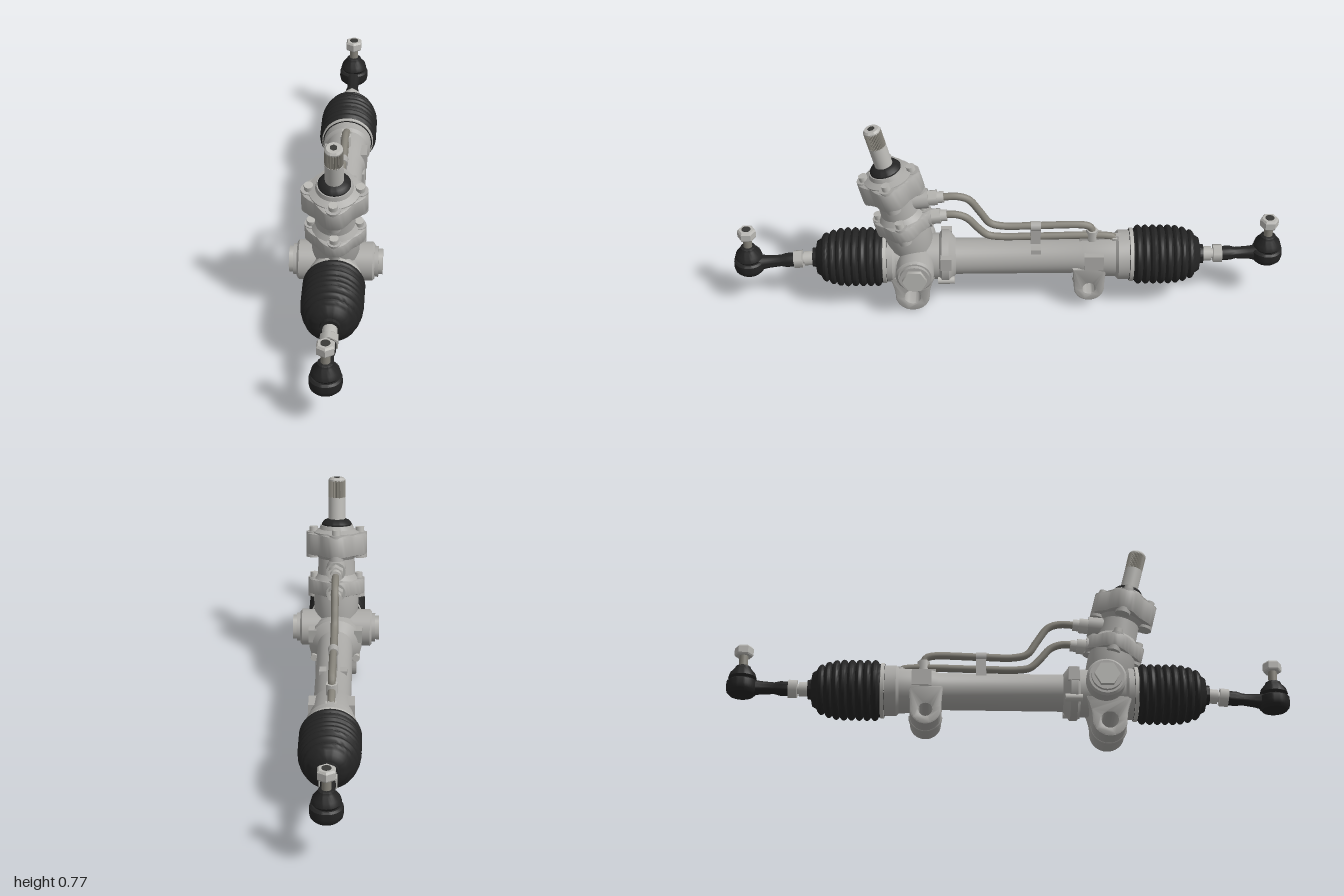
import * as THREE from 'three';
import { toCreasedNormals } from 'three/addons/utils/BufferGeometryUtils.js';

const mat = (name, color) => {
  const m = new THREE.MeshStandardMaterial({ color });
  m.name = name;
  return m;
};

export function createModel() {
  const cast = mat('cast aluminium', 0xabaaa7);
  const steel = mat('bright steel', 0xb9b8b4);
  const pipeMat = mat('pipe steel', 0x86837a);
  const rubber = mat('black rubber', 0x242424);
  const dark = mat('dark hole', 0x3a3a38);
  const root = new THREE.Group();
  root.name = 'steeringRack';

  const add = (parent, name, geo, material, x = 0, y = 0, z = 0) => {
    const m = new THREE.Mesh(geo, material);
    m.name = name;
    m.position.set(x, y, z);
    parent.add(m);
    return m;
  };
  const group = (parent, name, x = 0, y = 0, z = 0) => {
    const g = new THREE.Group();
    g.name = name;
    g.position.set(x, y, z);
    parent.add(g);
    return g;
  };
  // Turned part from [radius, height] points, along y
  const turned = (pts, seg = 40, crease = 0.6) =>
    toCreasedNormals(new THREE.LatheGeometry(pts.map(p => new THREE.Vector2(...p)), seg), crease);
  const turnedZ = (pts, seg, crease) => turned(pts, seg, crease).rotateX(Math.PI / 2);
  const cyl = (r, h, seg = 24) => new THREE.CylinderGeometry(r, r, h, seg);
  const box = (x, y, z) => new THREE.BoxGeometry(x, y, z);

  // Rack housing: tube, end collar and gear housing
  const axisY = 0.2;
  const housing = group(root, 'housing', 0, axisY, 0);
  add(housing, 'rackTube', turnedZ([
    [0, -0.45], [0.09, -0.45], [0.09, -0.4], [0.08, -0.39], [0.074, -0.27], [0.066, -0.25],
    [0.066, 0.19], [0.085, 0.205], [0.098, 0.215], [0.098, 0.24], [0.085, 0.25],
    [0.084, 0.41], [0.092, 0.42], [0.092, 0.48], [0, 0.48]]), cast);
  for (const s of [-1, 1]) {
    add(housing, 'clampLug', box(0.03, 0.05, 0.04), cast, s * 0.085, 0.035, 0.225);
    add(housing, 'clampBolt', cyl(0.014, 0.06, 12).rotateX(Math.PI / 2), steel, s * 0.078, -0.05, 0.225);
    add(housing, 'collarLug', box(0.03, 0.06, 0.07), cast, s * 0.066, 0.02, -0.31);
  }
  add(housing, 'topRib', box(0.02, 0.03, 0.15), cast, 0, 0.075, -0.335);

  // Cross bore with hexagonal caps
  const cross = group(root, 'crossBore', 0, 0.209, 0.337);
  add(cross, 'crossBody', turned([
    [0, -0.135], [0.06, -0.135], [0.068, -0.128], [0.07, 0.128], [0.062, 0.135], [0, 0.135]
  ]).rotateZ(Math.PI / 2), cast);
  for (const s of [-1, 1]) {
    add(cross, 'capWasher', cyl(0.054, 0.02, 32).rotateZ(Math.PI / 2), cast, s * 0.138);
    add(cross, 'hexCap', cyl(0.045, 0.03, 6).rotateZ(Math.PI / 2), steel, s * 0.148);
  }

  // Mounting ears with a bolt hole across the model
  const ear = (name, z, holeY, outer, hole, top, flare, depth) => {
    const s = new THREE.Shape();
    s.moveTo(-flare, top);
    s.quadraticCurveTo(-outer, (top + holeY) / 2, -outer, holeY);
    s.absarc(0, holeY, outer, Math.PI, Math.PI * 2, false);
    s.quadraticCurveTo(outer, (top + holeY) / 2, flare, top);
    s.closePath();
    const h = new THREE.Path();
    h.absarc(0, holeY, hole, 0, Math.PI * 2, true);
    s.holes.push(h);
    const geo = new THREE.ExtrudeGeometry(s, {
      depth: depth - 0.012, bevelSize: 0.006, bevelThickness: 0.006, bevelOffset: -0.006,
      bevelSegments: 2, curveSegments: 20 });
    geo.translate(0, 0, -(depth - 0.012) / 2).rotateY(Math.PI / 2);
    add(root, name, toCreasedNormals(geo, 0.5), cast, 0, 0, z);
    const ring = new THREE.TorusGeometry(outer - 0.003, 0.008, 8, 24, Math.PI);
    ring.rotateZ(Math.PI).rotateY(Math.PI / 2).scale(2, 1, 1);
    add(root, name + 'Rib', ring, cast, 0, holeY, z);
  };
  ear('frontEar', 0.35, 0.07, 0.062, 0.029, 0.16, 0.085, 0.156);
  ear('rearEar', -0.295, 0.1, 0.055, 0.023, 0.19, 0.062, 0.15);

  // Leaning pinion column
  const column = group(root, 'pinionColumn', 0, 0.209, 0.337);
  column.rotation.x = 0.243;
  add(column, 'valveBody', turned([
    [0, 0], [0.065, 0], [0.082, 0.07], [0.085, 0.12], [0.085, 0.19], [0.07, 0.21],
    [0.068, 0.27], [0.088, 0.295], [0.088, 0.37], [0.065, 0.38], [0.06, 0.395], [0, 0.395]]), cast);
  const flange = (name, y, h, inner, lobe, bossR) => {
    const g = group(column, name, 0, y, 0);
    const s = new THREE.Shape();
    for (let i = 0; i < 64; i++) {
      const a = i / 64 * Math.PI * 2;
      const r = inner + (lobe - inner) * Math.pow(0.5 + 0.5 * Math.cos(4 * a), 0.8);
      s[i ? 'lineTo' : 'moveTo'](r * Math.cos(a), r * Math.sin(a));
    }
    s.closePath();
    const geo = new THREE.ExtrudeGeometry(s, {
      depth: h - 0.016, bevelSize: 0.008, bevelThickness: 0.008, bevelOffset: -0.008, bevelSegments: 2 });
    geo.translate(0, 0, -(h - 0.016) / 2).rotateX(-Math.PI / 2);
    add(g, 'flangePlate', toCreasedNormals(geo, 0.6), cast);
    for (let i = 0; i < 4; i++) {
      const a = i * Math.PI / 2, d = lobe - bossR;
      const x = d * Math.cos(a), z = d * Math.sin(a);
      add(g, 'boltBoss', cyl(bossR, h + 0.014, 20), cast, x, -0.004, z);
      add(g, 'bolt', cyl(0.016, 0.024, 12), steel, x, h / 2 + 0.01, z);
    }
  };
  flange('upperFlange', 0.325, 0.082, 0.09, 0.114, 0.027);
  flange('lowerFlange', 0.163, 0.058, 0.088, 0.106, 0.024);
  add(column, 'shaftSeal', turned([
    [0, 0.37], [0.055, 0.38], [0.056, 0.4], [0.047, 0.412], [0.033, 0.418], [0, 0.418]]), rubber);
  add(column, 'inputShaft', cyl(0.032, 0.1, 32), steel, 0, 0.45, 0);
  const spline = new THREE.Shape();
  for (let i = 0; i < 72; i++) {
    const a = i / 72 * Math.PI * 2, r = i % 2 ? 0.0295 : 0.032;
    spline[i ? 'lineTo' : 'moveTo'](r * Math.cos(a), r * Math.sin(a));
  }
  add(column, 'shaftSpline', new THREE.ExtrudeGeometry(spline, { depth: 0.066, bevelEnabled: false })
    .rotateX(-Math.PI / 2), pipeMat, 0, 0.497, 0);
  add(column, 'shaftTip', turned([[0.031, 0.56], [0.031, 0.566], [0.025, 0.573], [0, 0.573]]), steel);
  add(column, 'shaftSocket', cyl(0.013, 0.004, 6), dark, 0, 0.573, 0);

  // Hydraulic pipes with fittings
  const pipe = (name, pts) => {
    const path = new THREE.CatmullRomCurve3(
      pts.map(([y, z]) => new THREE.Vector3(0, y, z)), false, 'centripetal');
    add(root, name, new THREE.TubeGeometry(path, 80, 0.0135, 12), pipeMat);
  };
  pipe('upperPipe', [[0.458, 0.33], [0.468, 0.24], [0.47, 0.18], [0.455, 0.14], [0.4, 0.1],
    [0.35, 0.065], [0.336, 0.02], [0.336, -0.1], [0.336, -0.28], [0.325, -0.3], [0.26, -0.305]]);
  pipe('lowerPipe', [[0.375, 0.33], [0.388, 0.24], [0.39, 0.19], [0.375, 0.15], [0.33, 0.11],
    [0.297, 0.075], [0.288, 0.03], [0.288, -0.1], [0.288, -0.36], [0.28, -0.385], [0.23, -0.392]]);
  for (const [y, z] of [[0.465, 0.275], [0.383, 0.265]]) {
    const f = group(root, 'pipeFitting', 0, y, z);
    f.rotation.x = 0.1;
    add(f, 'fittingBoss', cyl(0.036, 0.1).rotateX(Math.PI / 2), cast, 0, 0, 0.06);
    add(f, 'fittingNut', cyl(0.03, 0.045, 6).rotateX(Math.PI / 2), steel);
    add(f, 'fittingNeck', cyl(0.021, 0.025).rotateX(Math.PI / 2), steel, 0, 0, -0.033);
  }
  add(root, 'endFitting', cyl(0.022, 0.05, 6), steel, 0, 0.29, -0.305);
  add(root, 'endFitting', cyl(0.022, 0.04, 6), steel, 0, 0.265, -0.39);

  // Pipe bracket
  const bracket = group(root, 'pipeBracket', 0, 0, -0.1);
  add(bracket, 'bracketPost', box(0.03, 0.075, 0.036), cast, 0, 0.287, 0);
  add(bracket, 'bracketFoot', box(0.1, 0.03, 0.036), cast, 0, 0.246, 0);
  add(bracket, 'bracketClip', cyl(0.019, 0.036, 16).rotateX(Math.PI / 2), cast, 0, 0.334, 0);

  // Pleated bellows profile, ending in a narrow neck
  const bellows = [[0, 0.44], [0.094, 0.44], [0.094, 0.455]];
  const pleats = 8, steps = 8;
  for (let i = 0; i <= pleats * steps; i++) {
    const t = i / (pleats * steps);
    const taper = 0.104 - 0.026 * Math.pow(Math.max(0, (t - 0.55) / 0.45), 2);
    const ridge = Math.abs(Math.sin(t * pleats * Math.PI));
    bellows.push([taper - 0.009 + 0.013 * Math.pow(ridge, 0.7), 0.46 + 0.22 * t]);
  }
  bellows.push([0.06, 0.695], [0.036, 0.7], [0.034, 0.712], [0, 0.712]);

  // One end of the rack, built toward +z; drop lowers the ball joint
  const rackEnd = (name, turn, drop) => {
    const g = group(root, name, 0, axisY, 0);
    g.rotation.y = turn;
    add(g, 'bellows', turnedZ(bellows, 48, 1.0), rubber);
    add(g, 'bellowsClamp', turnedZ([[0.092, 0.44], [0.098, 0.442], [0.098, 0.454], [0.092, 0.456]]), steel);
    const rod = group(g, 'tieRod', 0, 0, 0.68);
    rod.rotation.x = Math.atan2(drop, 0.265);
    add(rod, 'threadedRod', cyl(0.018, 0.12).rotateX(Math.PI / 2), steel, 0, 0, 0.06);
    add(rod, 'rodCollar', cyl(0.026, 0.035, 20).rotateX(Math.PI / 2), steel, 0, 0, 0.045);
    add(rod, 'lockNut', cyl(0.035, 0.032, 6).rotateX(Math.PI / 2), steel, 0, 0, 0.085);
    add(rod, 'rodArm', turnedZ([[0, 0.1], [0.026, 0.1], [0.026, 0.13], [0.021, 0.15],
      [0.024, 0.2], [0.032, 0.24], [0, 0.25]], 24), rubber);
    const joint = group(g, 'ballJoint', 0, -drop, 0.945);
    add(joint, 'jointSocket', turned([[0, -0.03], [0.044, -0.03], [0.053, -0.02], [0.056, -0.005],
      [0.055, 0.016], [0.048, 0.022], [0, 0.022]]), rubber);
    add(joint, 'jointBoot', turned([[0, 0.02], [0.04, 0.02], [0.05, 0.033], [0.045, 0.05],
      [0.03, 0.068], [0.027, 0.076], [0.02, 0.08], [0, 0.08]]), rubber);
    add(joint, 'jointStud', cyl(0.016, 0.08, 20), pipeMat, 0, 0.105, 0);
    add(joint, 'studNut', turned([[0, 0.119], [0.031, 0.119], [0.034, 0.124], [0.034, 0.148],
      [0.028, 0.155], [0, 0.155]], 6, 0.4), steel);
    add(joint, 'studTip', cyl(0.016, 0.004, 16), dark, 0, 0.155, 0);
  };
  rackEnd('frontEnd', 0, 0.025);
  rackEnd('rearEnd', Math.PI, -0.006);

  return root;
}
